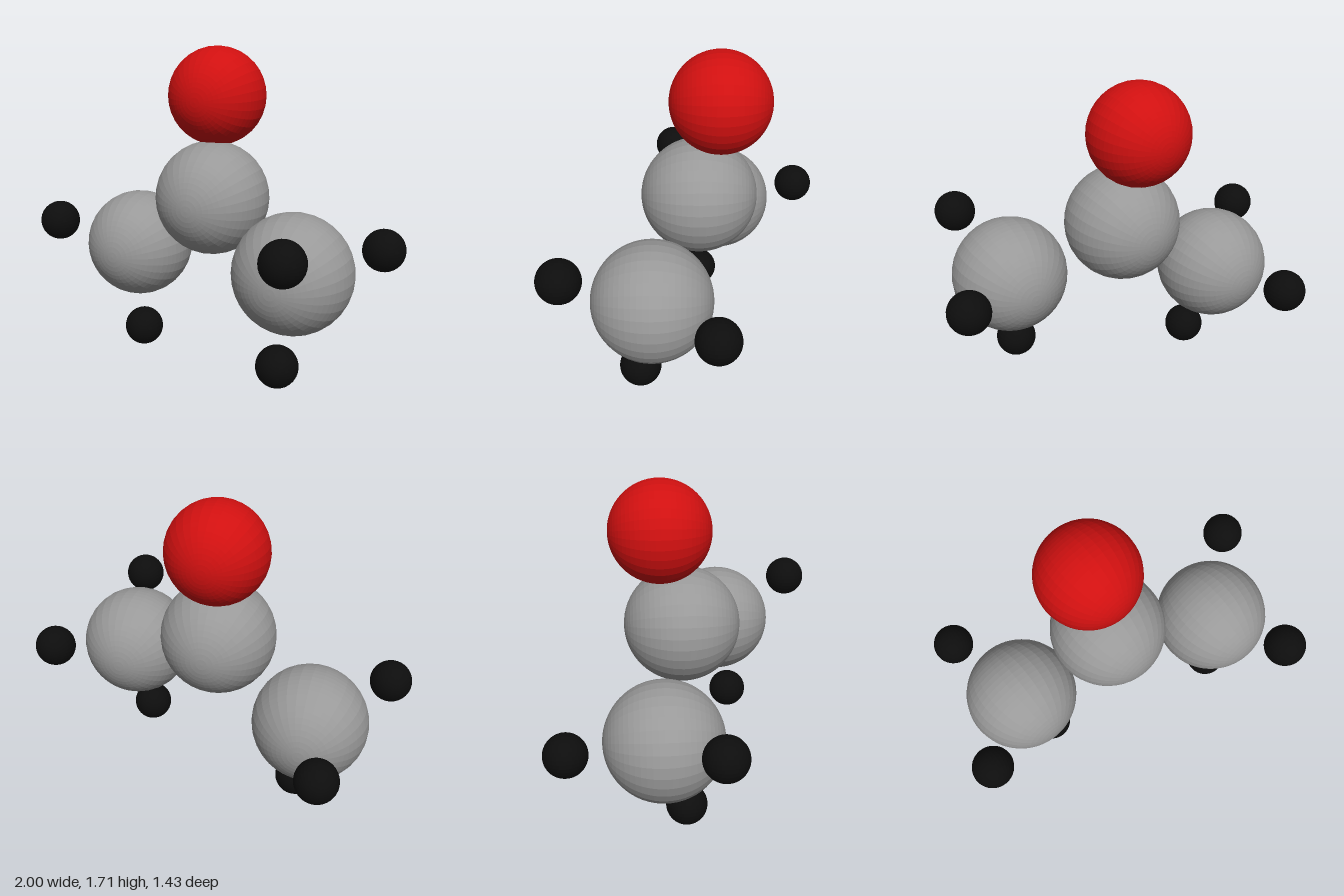
import * as THREE from 'three';

// Ball model of a small molecule: three large atoms, one top atom, six small ones.
export function createModel() {
  const group = new THREE.Group();
  const material = (color) => new THREE.MeshStandardMaterial({ color, flatShading: true });

  const kinds = {
    carbon: { radius: 0.298, material: material(0x999999) },
    oxygen: { radius: 0.255, material: material(0xd01010) },
    hydrogen: { radius: 0.107, material: material(0x0d0d0d) },
  };

  // Faceted ball with its poles along z
  for (const kind of Object.values(kinds)) {
    kind.geometry = new THREE.SphereGeometry(kind.radius, 32, 32).rotateX(Math.PI / 2);
  }

  function addAtom(kind, name, x, y, z) {
    const mesh = new THREE.Mesh(kinds[kind].geometry, kinds[kind].material);
    mesh.name = name;
    mesh.position.set(x, y, z);
    group.add(mesh);
  }

  // Chain of large atoms with the atom on top
  addAtom('oxygen', 'oxygenAtom', -0.035, 1.45, -0.14);
  addAtom('carbon', 'centreCarbon', -0.01, 0.933, -0.035);
  addAtom('carbon', 'rightCarbon', -0.53, 0.57, -0.147);
  addAtom('carbon', 'leftCarbon', 0.535, 0.68, 0.193);

  // Small atoms around the two outer large ones
  const hydrogens = {
    right: [[-0.893, 0.725, 0.113], [-0.45, 0.107, -0.035], [-0.65, 0.593, -0.61]],
    left: [[0.495, 0.21, 0.267], [0.643, 0.89, 0.61], [0.893, 0.757, -0.115]],
  };
  for (const [side, spots] of Object.entries(hydrogens)) {
    spots.forEach((p, i) => addAtom('hydrogen', `${side}Hydrogen${i + 1}`, ...p));
  }
  return group;
}
